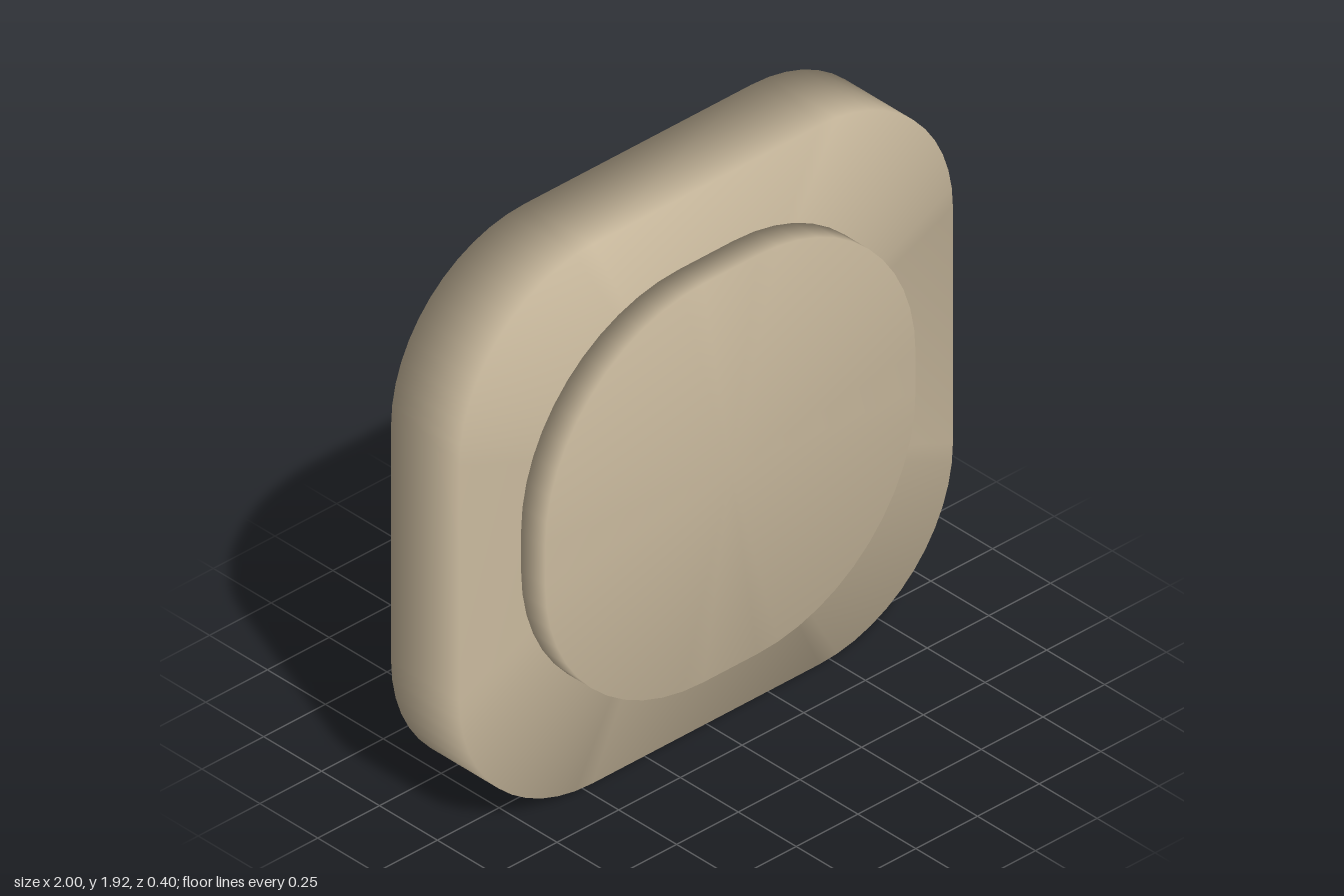
import * as THREE from 'three';

// Outline of a rounded rectangle, counter-clockwise, one segment per straight side
function roundedOutline(hw, hh, r, steps) {
  const points = [];
  const corners = [[1, 1], [-1, 1], [-1, -1], [1, -1]];
  corners.forEach(([sx, sy], c) => {
    for (let i = 0; i <= steps; i++) {
      const a = (c + i / steps) * Math.PI / 2;
      points.push([sx * (hw - r) + r * Math.cos(a), sy * (hh - r) + r * Math.sin(a)]);
    }
  });
  return points;
}

// Closed slab with fanned caps; walls and caps share rim vertices for soft shading
function softSlab(hw, hh, r, z0, z1) {
  const outline = roundedOutline(hw, hh, r, 12);
  const n = outline.length;
  const pos = [], index = [];
  for (const z of [z0, z1]) for (const [x, y] of outline) pos.push(x, y, z);
  pos.push(0, 0, z0, 0, 0, z1);
  for (let i = 0; i < n; i++) {
    const j = (i + 1) % n;
    index.push(i, j, n + j, i, n + j, n + i); // wall
    index.push(2 * n, j, i);                  // back cap
    index.push(2 * n + 1, n + i, n + j);      // front cap
  }
  const geometry = new THREE.BufferGeometry();
  geometry.setAttribute('position', new THREE.Float32BufferAttribute(pos, 3));
  geometry.setIndex(index);
  geometry.computeVertexNormals();
  return geometry;
}

export function createModel() {
  const group = new THREE.Group();
  const material = new THREE.MeshStandardMaterial({ color: 0xcbbb9f });

  function addSlab(name, ...size) {
    const mesh = new THREE.Mesh(softSlab(...size), material);
    mesh.name = name;
    mesh.position.y = 0.96;
    group.add(mesh);
  }

  // Thick rounded-square body with a smaller raised plate on its front
  addSlab('body', 1, 0.96, 0.54, -0.2, 0.095);
  addSlab('frontPlate', 0.75, 0.71, 0.64, 0.095, 0.2);
  return group;
}
